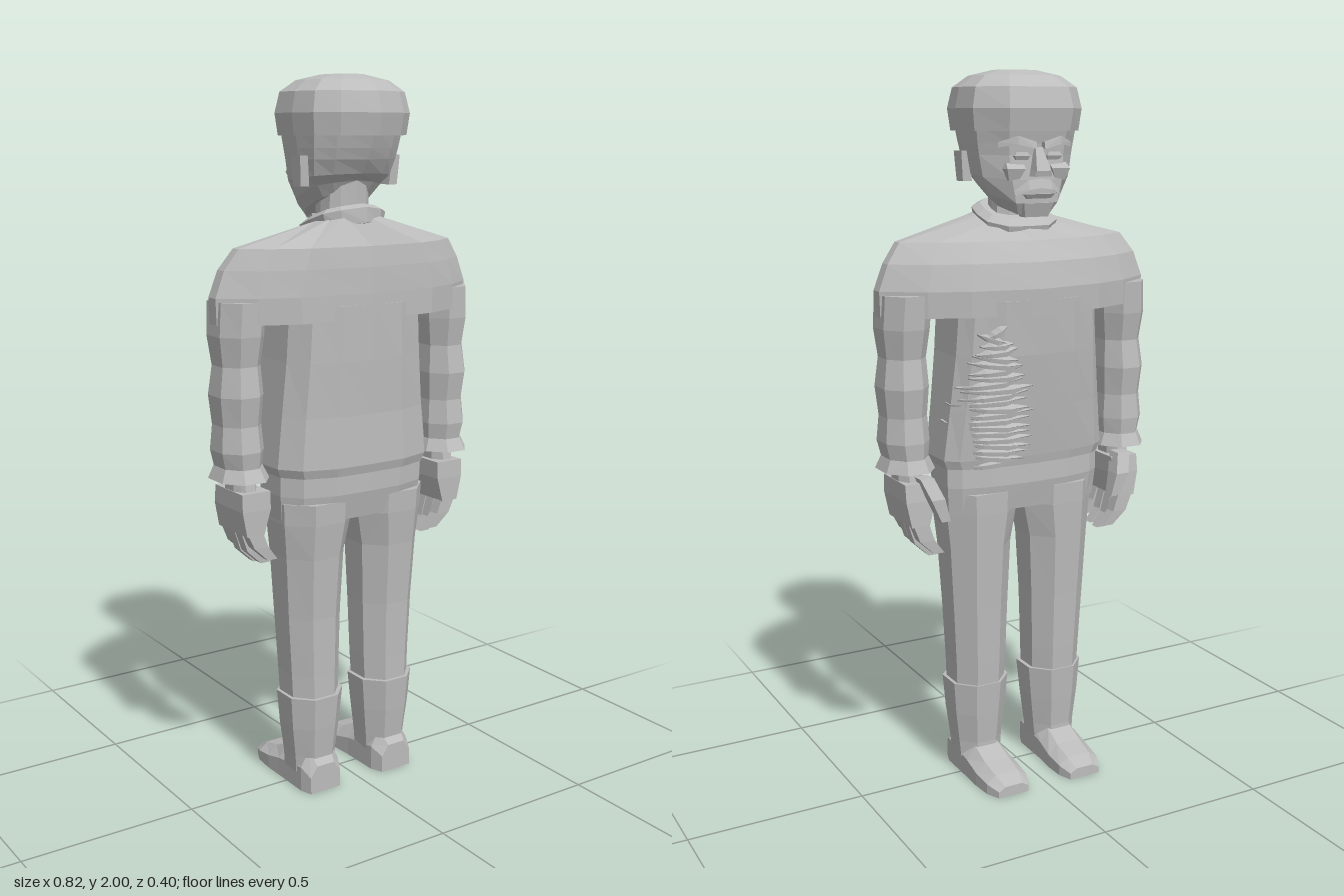
import * as THREE from 'three';

const grey = new THREE.MeshStandardMaterial({ color: 0xbcbcbc });
grey.name = 'plain grey';

// Flat-faced closed solid from matching rings of [x, y, z]; turns itself outward
function solid(name, rings) {
  const tris = [], n = rings[0].length;
  for (let i = 0; i + 1 < rings.length; i++) {
    for (let j = 0; j < n; j++) {
      const a = rings[i][j], b = rings[i][(j + 1) % n];
      const c = rings[i + 1][(j + 1) % n], d = rings[i + 1][j];
      tris.push([a, b, c], [a, c, d]);
    }
  }
  const mid = r => [0, 1, 2].map(k => r.reduce((s, p) => s + p[k], 0) / n);
  const lo = rings[0], hi = rings[rings.length - 1], ml = mid(lo), mh = mid(hi);
  for (let j = 0; j < n; j++) {
    tris.push([ml, lo[(j + 1) % n], lo[j]], [mh, hi[j], hi[(j + 1) % n]]);
  }
  let volume = 0;
  for (const [a, b, c] of tris) {
    volume += a[0] * (b[1] * c[2] - b[2] * c[1]) + a[1] * (b[2] * c[0] - b[0] * c[2])
      + a[2] * (b[0] * c[1] - b[1] * c[0]);
  }
  if (volume < 0) tris.forEach(t => t.reverse());
  const g = new THREE.BufferGeometry();
  g.setAttribute('position', new THREE.Float32BufferAttribute(tris.flat(2), 3));
  g.computeVertexNormals();
  const mesh = new THREE.Mesh(g, grey);
  mesh.name = name;
  return mesh;
}

// Symmetric ring from a half outline; zf is the chest side (-z), zb the back
function ring(half, y, w, zf, zb, tilt = 0, zc = 0) {
  const right = half.map(([fx, fz]) => {
    const z = zc + (fz < 0 ? -fz * (zf - zc) : fz * (zb - zc));
    return [fx * w, y + tilt * z, z];
  });
  const left = right.slice(1, -1).reverse().map(([x, yy, z]) => [-x, yy, z]);
  return [...right, ...left];
}

// Chamfered rectangular ring, x0..x1 by z0..z1
function oct(y, x0, x1, z0, z1, k = 0.28, tilt = 0) {
  const a = (x1 - x0) * k, b = (z1 - z0) * k;
  return [[x0 + a, z0], [x1 - a, z0], [x1, z0 + b], [x1, z1 - b],
    [x1 - a, z1], [x0 + a, z1], [x0, z1 - b], [x0, z0 + b]].map(([x, z]) => [x, y + tilt * z, z]);
}
const quad = (y, x0, x1, z0, z1) => [[x0, y, z0], [x1, y, z0], [x1, y, z1], [x0, y, z1]];
const flip = rings => rings.map(r => r.map(([x, y, z]) => [-x, y, z]));

const BODY = [[0, -1], [0.5, -0.93], [0.86, -0.72], [1, -0.45], [1, 0.45], [0.82, 0.8], [0.45, 0.98], [0, 1]];
const LENS = [[0, -1], [0.48, -0.8], [0.74, -0.55], [1, -0.12], [1, 0.12], [0.78, 0.55], [0.52, 0.85], [0, 1]];
const ROUND = [[0, -1], [0.56, -0.96], [0.97, -0.45], [1, 0.15], [0.91, 0.56], [0.59, 0.8], [0, 1]];

export function createModel() {
  const model = new THREE.Group();
  model.name = 'standingMan';
  const add = (name, rings) => model.add(solid(name, rings));
  const pair = (name, rings) => {
    add('left' + name, rings);
    add('right' + name, flip(rings));
  };

  // Jumper: trunk, then wide shoulders sloping to the neck
  add('trunk', [
    ring(BODY, 0.935, 0.24, -0.095, 0.155), ring(BODY, 0.96, 0.25, -0.1, 0.162),
    ring(BODY, 1.1, 0.235, -0.12, 0.158), ring(BODY, 1.25, 0.22, -0.14, 0.163),
    ring(BODY, 1.4, 0.21, -0.15, 0.165)]);
  add('shoulders', [
    ring(LENS, 1.36, 0.41, -0.15, 0.165, 0, 0.02), ring(LENS, 1.43, 0.412, -0.153, 0.165, 0, 0.02),
    ring(LENS, 1.5, 0.385, -0.135, 0.162, 0, 0.02), ring(LENS, 1.555, 0.345, -0.1, 0.155, 0, 0.03),
    ring(ROUND, 1.61, 0.1, -0.06, 0.11).length && ring(LENS, 1.61, 0.105, -0.06, 0.12, 0.2, 0.03)]);

  // Sleeves with soft folds, ending in flared cuffs
  pair('Sleeve', [
    oct(1.42, 0.27, 0.405, -0.07, 0.1), oct(1.33, 0.275, 0.41, -0.065, 0.098),
    oct(1.25, 0.285, 0.4, -0.05, 0.085), oct(1.17, 0.28, 0.41, -0.062, 0.096),
    oct(1.09, 0.285, 0.402, -0.052, 0.085), oct(1.02, 0.28, 0.408, -0.06, 0.094),
    oct(0.965, 0.285, 0.395, -0.055, 0.085)]);
  pair('Cuff', [oct(0.975, 0.283, 0.398, -0.06, 0.09), oct(0.94, 0.268, 0.412, -0.075, 0.108)]);

  // Hands
  pair('Wrist', [oct(0.96, 0.3, 0.37, -0.03, 0.065), oct(0.89, 0.3, 0.37, -0.04, 0.075)]);
  pair('Palm', [
    quad(0.91, 0.285, 0.372, -0.055, 0.09), quad(0.86, 0.285, 0.372, -0.062, 0.092),
    quad(0.79, 0.305, 0.358, -0.065, 0.09)]);
  for (let i = 0; i < 4; i++) {
    const z = -0.063 + i * 0.038, drop = [0, 0.015, 0.01, -0.008][i];
    pair('Finger' + (i + 1), [
      quad(0.8, 0.308, 0.355, z, z + 0.034), quad(0.745 - drop, 0.29, 0.333, z, z + 0.034),
      quad(0.705 - drop, 0.26, 0.29, z + 0.003, z + 0.031)]);
  }
  pair('Thumb', [
    quad(0.925, 0.295, 0.335, -0.075, -0.03), quad(0.87, 0.275, 0.315, -0.102, -0.055),
    quad(0.805, 0.258, 0.285, -0.1, -0.068)]);

  // Trousers
  add('hips', [
    ring(BODY, 0.95, 0.238, -0.088, 0.148), ring(BODY, 0.88, 0.238, -0.09, 0.147),
    ring(BODY, 0.805, 0.232, -0.075, 0.13)]);
  pair('TrouserLeg', [
    oct(0.86, 0.012, 0.234, -0.085, 0.14), oct(0.8, 0.012, 0.232, -0.083, 0.137),
    oct(0.7, 0.032, 0.222, -0.078, 0.125), oct(0.52, 0.04, 0.212, -0.068, 0.112),
    oct(0.35, 0.045, 0.203, -0.06, 0.108), oct(0.27, 0.048, 0.2, -0.055, 0.108)]);
  pair('Gaiter', [
    oct(0.285, 0.036, 0.21, -0.06, 0.118), oct(0.19, 0.045, 0.203, -0.053, 0.11),
    oct(0.1, 0.055, 0.192, -0.045, 0.1), oct(0.05, 0.06, 0.188, -0.045, 0.095)]);

  // Shoes: cross-sections from heel to toe
  const slice = (z, x0, x1, top) => {
    const s = (x1 - x0) * 0.22;
    return [[x0, 0, z], [x1, 0, z], [x1, top * 0.6, z], [x1 - s, top, z], [x0 + s, top, z], [x0, top * 0.6, z]];
  };
  pair('Shoe', [
    slice(0.115, 0.075, 0.175, 0.08), slice(0.08, 0.06, 0.187, 0.12), slice(-0.04, 0.058, 0.187, 0.09),
    slice(-0.1, 0.053, 0.188, 0.066), slice(-0.16, 0.055, 0.183, 0.05), slice(-0.2, 0.07, 0.165, 0.03)]);

  // Collar and neck
  add('collar', [
    ring(ROUND, 1.575, 0.1, -0.065, 0.135, 0.3), ring(ROUND, 1.615, 0.112, -0.075, 0.13, 0.32),
    ring(ROUND, 1.63, 0.09, -0.055, 0.11, 0.32)]);
  add('neck', [ring(ROUND, 1.57, 0.072, -0.035, 0.085), ring(ROUND, 1.74, 0.068, -0.035, 0.085)]);

  // Head with a jaw rising toward the back
  add('head', [
    ring(ROUND, 1.665, 0.085, -0.1, 0.065, 0.42), ring(ROUND, 1.695, 0.112, -0.118, 0.085, 0.35),
    ring(ROUND, 1.73, 0.135, -0.12, 0.11, 0.12), ring(ROUND, 1.78, 0.145, -0.115, 0.135),
    ring(ROUND, 1.81, 0.15, -0.118, 0.148), ring(ROUND, 1.86, 0.157, -0.13, 0.165)]);
  pair('Ear', [
    quad(1.71, 0.13, 0.157, 0.012, 0.05), quad(1.79, 0.138, 0.162, 0.01, 0.056)]);

  // Face
  add('nose', [
    quad(1.725, -0.026, 0.026, -0.148, -0.1), quad(1.74, -0.022, 0.022, -0.152, -0.1),
    quad(1.8, -0.01, 0.01, -0.124, -0.1)]);
  add('chin', [quad(1.618, -0.035, 0.035, -0.112, -0.08), quad(1.655, -0.045, 0.045, -0.125, -0.08)]);
  add('lowerLip', [quad(1.667, -0.035, 0.035, -0.125, -0.09), quad(1.679, -0.045, 0.045, -0.133, -0.09)]);
  pair('Moustache', [
    [[0, 1.695, -0.138], [0, 1.72, -0.13], [0, 1.7, -0.1]],
    [[0.035, 1.69, -0.136], [0.035, 1.715, -0.128], [0.035, 1.7, -0.1]],
    [[0.068, 1.674, -0.118], [0.068, 1.688, -0.115], [0.06, 1.68, -0.095]]]);
  pair('Eyebrow', [
    [[0.012, 1.795, -0.136], [0.012, 1.815, -0.132], [0.012, 1.81, -0.1]],
    [[0.065, 1.808, -0.13], [0.065, 1.83, -0.128], [0.065, 1.815, -0.095]],
    [[0.11, 1.8, -0.1], [0.11, 1.814, -0.1], [0.1, 1.805, -0.08]]]);
  pair('Eye', [
    quad(1.768, 0.03, 0.065, -0.118, -0.1), quad(1.778, 0.026, 0.072, -0.123, -0.1),
    quad(1.788, 0.032, 0.065, -0.12, -0.1)]);
  pair('Cheek', [
    quad(1.715, 0.055, 0.085, -0.115, -0.08), quad(1.745, 0.04, 0.095, -0.125, -0.08),
    quad(1.76, 0.04, 0.09, -0.11, -0.08)]);

  // Round cap
  add('cap', [
    ring(ROUND, 1.842, 0.163, -0.135, 0.185), ring(ROUND, 1.9, 0.17, -0.146, 0.196),
    ring(ROUND, 1.955, 0.158, -0.13, 0.18), ring(ROUND, 1.985, 0.118, -0.085, 0.14),
    ring(ROUND, 2.0, 0.055, -0.025, 0.085)]);

  // Ragged ruffle of torn slivers on one side of the chest
  let seed = 7;
  const rnd = () => (seed = (seed * 16807) % 2147483647) / 2147483647;
  const ruffle = new THREE.Group();
  ruffle.name = 'raggedRuffle';
  for (let i = 0; i < 22; i++) {
    const t = i / 21, y = 0.95 + 0.37 * t;
    const w = 0.025 + 0.075 * Math.sin(Math.PI * Math.min(1, 0.25 + 0.75 * t)) * (0.75 + 0.4 * rnd());
    const cx = 0.12 + 0.015 * t + (rnd() - 0.5) * 0.025;
    const front = -0.098 - 0.045 * Math.min(1, (y - 0.95) / 0.3);
    const out = 0.006 + 0.012 * rnd(), skew = (rnd() - 0.5) * 0.035;
    const section = (x, h, lift) => {
      const z = front + 1.6 * Math.max(0, x - 0.11) ** 1.5 - lift;
      return [[x, y + skew * (x - cx) / w - h, z - 0.002], [x, y + skew * (x - cx) / w, z - 0.004],
        [x, y + skew * (x - cx) / w + h, z + 0.03], [x, y + skew * (x - cx) / w - h, z + 0.03]];
    };
    ruffle.add(solid('sliver', [
      section(cx - w, 0.003, 0), section(cx - w * 0.3, 0.013, out),
      section(cx + w * 0.4, 0.011, out * 0.8), section(cx + w, 0.003, 0)]));
  }
  model.add(ruffle);
  return model;
}
